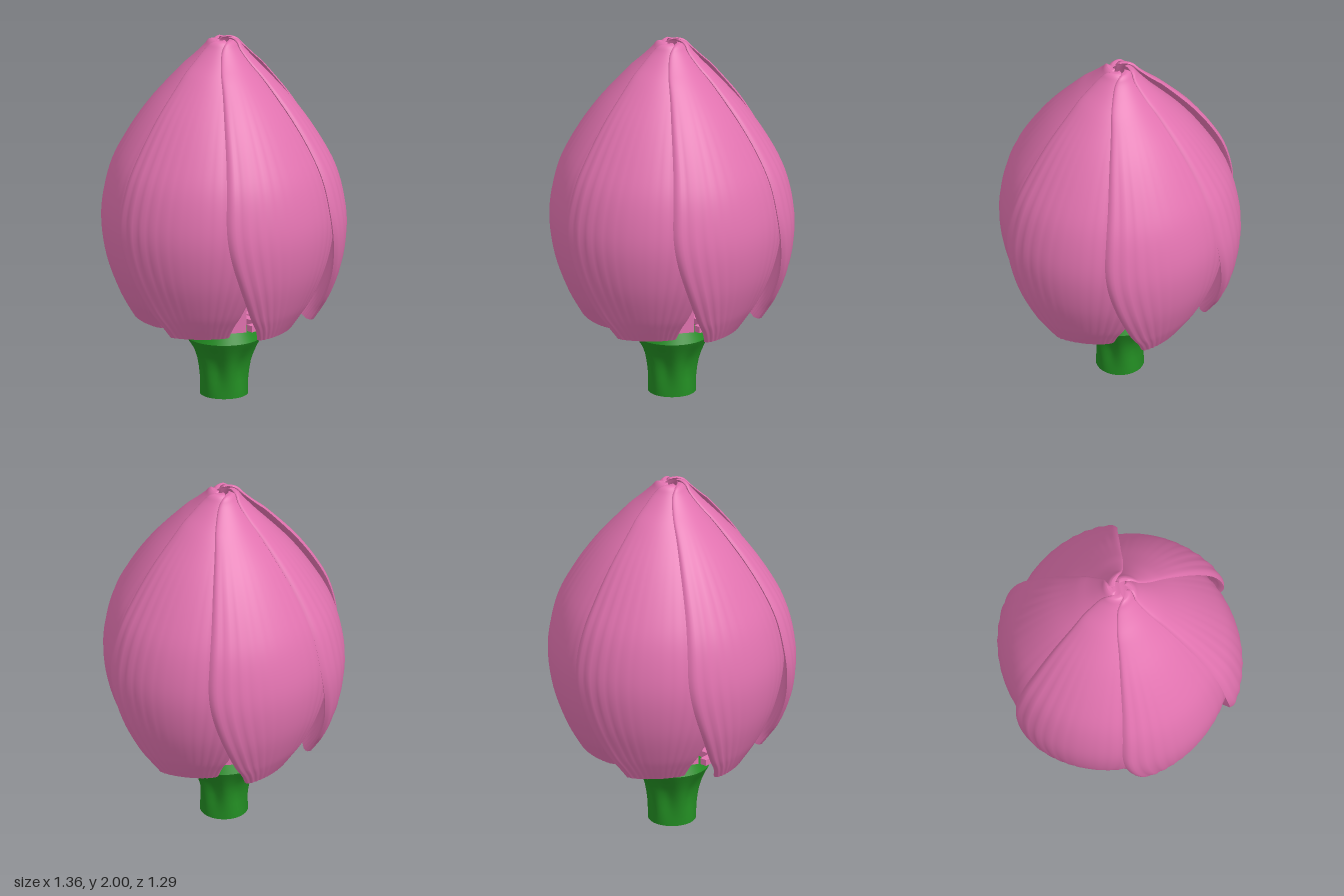
import * as THREE from 'three';

const pink = new THREE.MeshStandardMaterial({ color: 0xe273b0 });
pink.name = 'petal pink';
const green = new THREE.MeshStandardMaterial({ color: 0x228b22 });
green.name = 'stem green';

// Petal profile: outer radius, height, half-width in degrees
const PROFILE = [
  [0.45, 0.43, 21], [0.495, 0.5, 24], [0.54, 0.58, 28.5], [0.61, 0.76, 35], [0.642, 0.95, 40],
  [0.635, 1.1, 42], [0.59, 1.28, 42], [0.51, 1.44, 42], [0.39, 1.62, 43], [0.255, 1.78, 45],
  [0.155, 1.89, 49], [0.105, 1.95, 50], [0.08, 1.985, 42], [0.06, 2.0, 26],
];

// Closed shell: each cross-section loops along the outside and back along the inside
function petalGeometry() {
  const N = 44, rows = 56, ring = 2 * (N + 1);
  const curve = new THREE.CatmullRomCurve3(
    PROFILE.map(([r, y, w]) => new THREE.Vector3(r, y, w / 60)));
  const pos = [], index = [];
  const push = (r, y, a) => pos.push(r * Math.sin(a), y, r * Math.cos(a));

  for (let j = 0; j <= rows; j++) {
    const p = curve.getPoint(j / rows);
    const r0 = p.x, y = p.y, w = THREE.MathUtils.degToRad(p.z * 60);
    const spread = Math.min(1, r0 / 0.2);
    const thick = 0.016 + 0.032 * Math.min(1, r0 / 0.35);
    const ribs = 0.005 * THREE.MathUtils.smoothstep(r0, 0.2, 0.6);
    for (let k = 0; k < ring; k++) {
      const outside = k <= N;
      const i = outside ? k : ring - 1 - k;
      const s = -Math.cos((i / N) * Math.PI) * 0.3 + (2 * i / N - 1) * 0.7;
      // leading edge sits outside its neighbour, trailing edge tucks under
      const lean = -0.044 * spread * s;
      const edge = 1 - s ** 10;
      const rib = ribs * Math.abs(s) * edge * Math.cos(s * Math.PI * 13);
      const half = thick / 2 * Math.sqrt(Math.max(0, edge));
      push(r0 + lean + rib - thick / 2 + (outside ? half : -half), y, s * w);
    }
  }
  for (let j = 0; j < rows; j++) {
    for (let k = 0; k < ring; k++) {
      const a = j * ring + k, b = j * ring + (k + 1) % ring;
      index.push(a, b, b + ring, a, b + ring, a + ring);
    }
  }
  // Flat cut at the base, rounded-over tip
  const base = pos.length / 3;
  pos.push(...pos.slice(0, ring * 3));
  const top = rows * ring;
  for (let i = 0; i < N; i++) {
    const o = ring - 1 - i;
    index.push(base + i, base + o, base + o - 1, base + i, base + o - 1, base + i + 1);
    index.push(top + i, top + i + 1, top + o - 1, top + i, top + o - 1, top + o);
  }
  const g = new THREE.BufferGeometry();
  g.setAttribute('position', new THREE.Float32BufferAttribute(pos, 3));
  g.setIndex(index);
  g.computeVertexNormals();
  return g;
}

function lathe(points, material, name, segments = 72) {
  const m = new THREE.Mesh(
    new THREE.LatheGeometry(points.map(([x, y]) => new THREE.Vector2(x, y)), segments), material);
  m.name = name;
  return m;
}

function box(name, w, h, d, y, z) {
  const m = new THREE.Mesh(new THREE.BoxGeometry(w, h, d), pink);
  m.position.set(0, y, z);
  m.name = name;
  return m;
}

// Stem with six shallow flutes
function createStem() {
  const stem = new THREE.Group();
  stem.name = 'stem';
  const side = lathe([[0.13, 0], [0.131, 0.04], [0.134, 0.09], [0.14, 0.14], [0.149, 0.19],
    [0.163, 0.235], [0.182, 0.28], [0.198, 0.31], [0.205, 0.325]], green, 'flutedStem');
  const p = side.geometry.attributes.position;
  for (let i = 0; i < p.count; i++) {
    const x = p.getX(i), y = p.getY(i), z = p.getZ(i);
    const depth = 0.17 * Math.sin(Math.PI * Math.min(1, y / 0.325)) ** 2;
    const f = 1 - depth * (0.5 + 0.5 * Math.cos(6 * Math.atan2(x, z)));
    p.setXYZ(i, x * f, y, z * f);
  }
  side.geometry.computeVertexNormals();
  stem.add(side);
  stem.add(lathe([[0.205, 0.325], [0.165, 0.4]], green, 'stemShoulder'));
  stem.add(lathe([[0.165, 0.4], [0, 0.4]], green, 'stemTop'));
  stem.add(lathe([[0, 0], [0.13, 0]], green, 'stemBase'));
  return stem;
}

// Hollow hub with pegs and arms that carry the petals
function createReceptacle() {
  const g = new THREE.Group();
  g.name = 'receptacle';
  g.add(lathe([[0.08, 0.4], [0.11, 0.4], [0.11, 0.6], [0.08, 0.6], [0.08, 0.4]], pink, 'hub', 36));
  for (let k = 0; k < 6; k++) {
    const gap = new THREE.Group();
    gap.name = 'petalMount';
    gap.rotation.y = THREE.MathUtils.degToRad(30 + 60 * k);
    gap.add(box('peg', 0.14, 0.18, 0.03, 0.49, 0.21));
    gap.add(box('spoke', 0.04, 0.05, 0.12, 0.435, 0.15));
    g.add(gap);
    const arm = new THREE.Group();
    arm.name = 'petalArm';
    arm.rotation.y = THREE.MathUtils.degToRad(60 * k);
    arm.add(box('armBar', 0.045, 0.035, 0.32, 0.4475, 0.26));
    arm.add(box('armCross', 0.19, 0.035, 0.04, 0.4475, 0.3));
    g.add(arm);
  }
  return g;
}

export function createModel() {
  const model = new THREE.Group();
  model.name = 'flowerBud';
  model.add(createStem(), createReceptacle());

  // Six overlapping petals
  const geometry = petalGeometry();
  for (let k = 0; k < 6; k++) {
    const petal = new THREE.Mesh(geometry, pink);
    petal.name = 'petal';
    petal.rotation.y = k * Math.PI / 3;
    model.add(petal);
  }
  return model;
}
